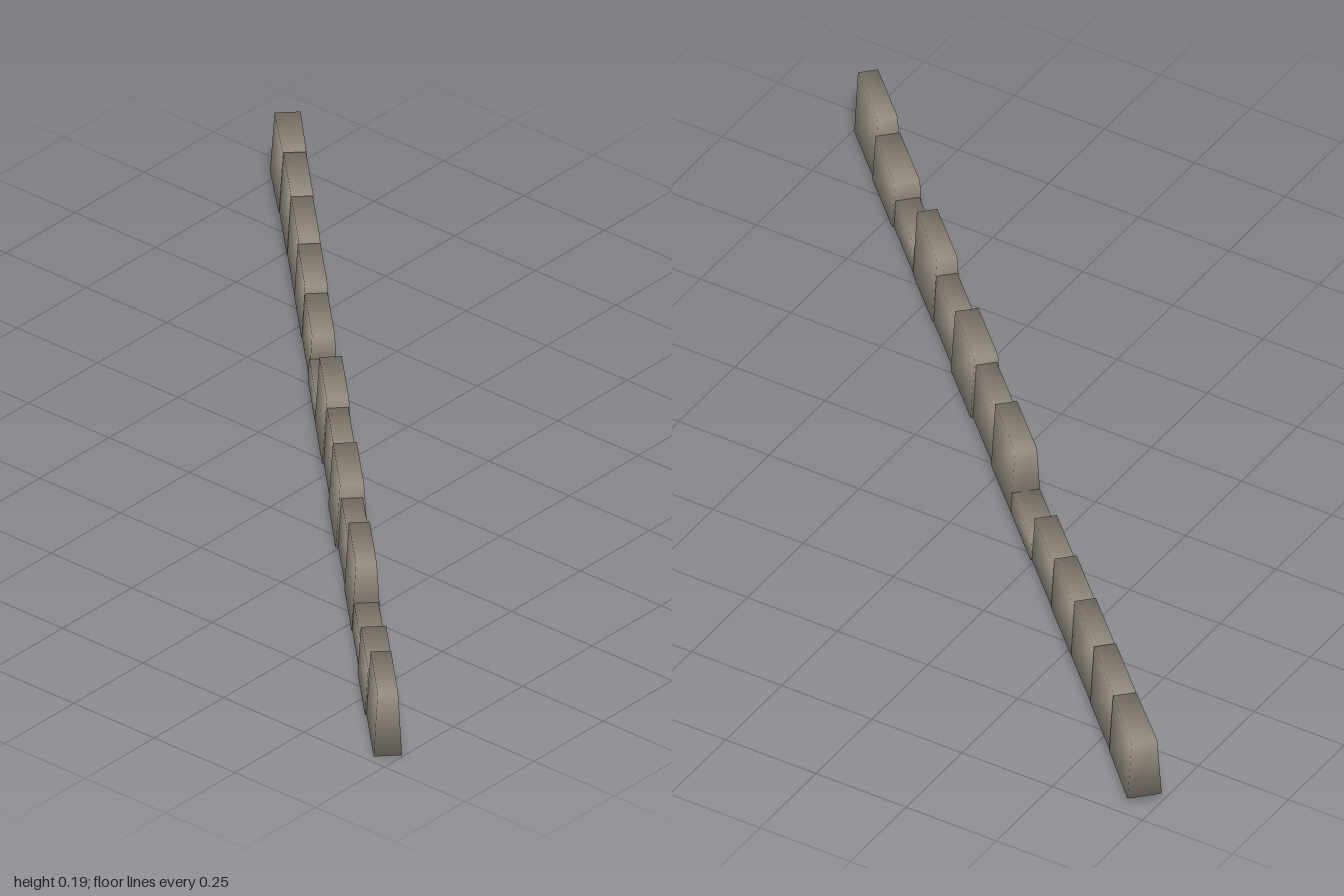
import * as THREE from 'three';
import { mergeVertices } from 'three/addons/utils/BufferGeometryUtils.js';

// Tapered block with its base on y = 0; each corner's normal points diagonally outward
// so the shading rolls softly around the stone.
function taperedBlock(length, height, widthA, widthB, topScale) {
  let g = new THREE.BoxGeometry(length, height, 1);
  g.deleteAttribute('normal');
  g.deleteAttribute('uv');
  g = mergeVertices(g);
  const p = g.attributes.position;
  const normals = [];
  for (let i = 0; i < p.count; i++) {
    const corner = [Math.sign(p.getX(i)), Math.sign(p.getY(i)), Math.sign(p.getZ(i))];
    normals.push(...corner.map((c) => c / Math.sqrt(3)));
    const width = corner[0] < 0 ? widthA : widthB;
    p.setZ(i, p.getZ(i) * width * (corner[1] > 0 ? topScale : 1));
  }
  g.setAttribute('normal', new THREE.Float32BufferAttribute(normals, 3));
  return g.translate(0, height / 2, 0);
}

export function createModel() {
  const group = new THREE.Group();
  group.name = 'ruinedWall';
  const stone = new THREE.MeshStandardMaterial({ color: 0x989083 });
  stone.name = 'weathered stone';

  // Line of the wall: a diagonal with a slight rise
  const start = new THREE.Vector3(-0.955, 0, 0.972);
  const end = new THREE.Vector3(0.945, 0.025, -0.972);
  const along = end.clone().sub(start).normalize();
  const across = along.clone().cross(new THREE.Vector3(0, 1, 0)).normalize();
  const up = across.clone().cross(along);
  const turn = new THREE.Matrix4().makeBasis(along, up, across);

  // Broken top heights and thickness of each section
  const tops = [0.173, 0.128, 0.08, 0.188, 0.141, 0.18, 0.163, 0.19, 0.072, 0.138, 0.161, 0.178, 0.186, 0.183];
  const widths = [0.067, 0.075, 0.066, 0.07, 0.065, 0.078, 0.066, 0.074, 0.074, 0.067, 0.07, 0.069, 0.072, 0.076];
  const length = start.distanceTo(end) / tops.length;

  tops.forEach((top, i) => {
    const base = start.clone().lerp(end, (i + 0.5) / tops.length);
    const endWidth = i === tops.length - 1 ? 0.083 : widths[i];
    const height = top - base.y;
    const section = new THREE.Mesh(
      taperedBlock(length, height, widths[i], endWidth, 1 - 1.6 * height), stone);
    section.name = `wallSection${i + 1}`;
    section.quaternion.setFromRotationMatrix(turn);
    section.position.copy(base);
    group.add(section);
  });
  return group;
}
